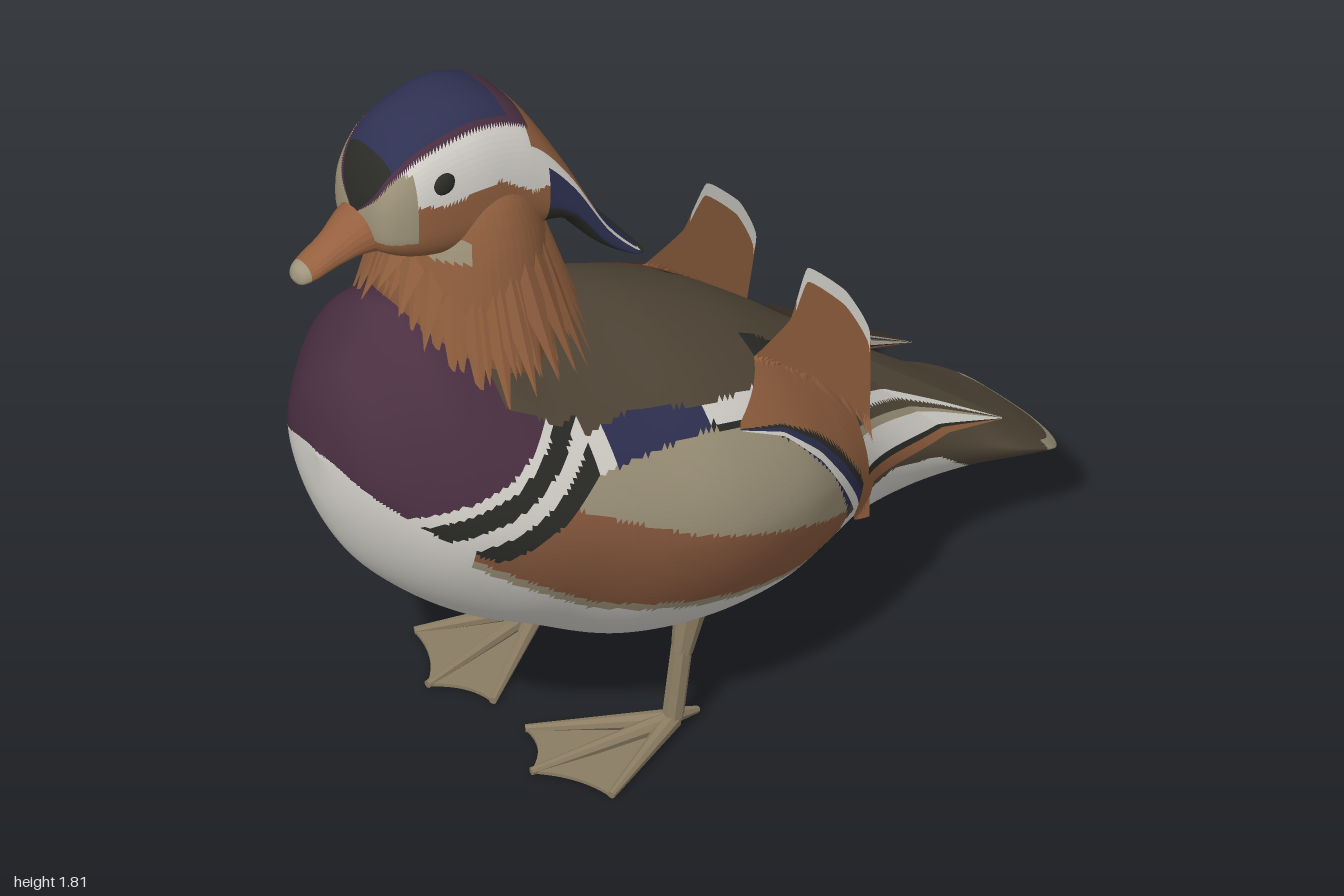
import * as THREE from 'three';

const colours = {
  white: 0xd8d5ce, chestnut: 0x92603f, flankRust: 0x8a5a3f, backBrown: 0x524738, navy: 0x2f3152,
  plum: 0x4b3042, black: 0x2b2b28, tan: 0x9f947b, legTan: 0x8b7d63, beakRust: 0x96603f,
};
const names = Object.keys(colours);
const mats = names.map((name) => new THREE.MeshStandardMaterial({
  name, color: colours[name], flatShading: true, side: THREE.DoubleSide,
}));
const mat = (name) => mats[names.indexOf(name)];

// Piecewise linear lookup; table rows are [z, value] with z falling
function at(z, table) {
  if (z >= table[0][0]) return table[0][1];
  for (let i = 1; i < table.length; i++) {
    const [z1, a] = table[i - 1], [z2, b] = table[i];
    if (z >= z2) return a + (b - a) * (z1 - z) / (z1 - z2);
  }
  return table[table.length - 1][1];
}

// Grid surface whose triangles are coloured by a rule
function grid(name, nu, nv, point, colourOf) {
  const pos = [], buckets = names.map(() => []);
  const add = (u, v, ...corners) => buckets[names.indexOf(colourOf(point(u, v), u, v))].push(...corners);
  for (let i = 0; i <= nu; i++)
    for (let j = 0; j <= nv; j++) pos.push(...point(i / nu, j / nv));
  for (let i = 0; i < nu; i++) {
    for (let j = 0; j < nv; j++) {
      const a = i * (nv + 1) + j, b = a + nv + 1;
      add((i + 1 / 3) / nu, (j + 1 / 3) / nv, a, a + 1, b);
      add((i + 2 / 3) / nu, (j + 2 / 3) / nv, a + 1, b + 1, b);
    }
  }
  const geo = new THREE.BufferGeometry();
  geo.setAttribute('position', new THREE.Float32BufferAttribute(pos, 3));
  geo.setIndex(buckets.flat());
  let start = 0;
  buckets.forEach((list, k) => {
    if (list.length) geo.addGroup(start, list.length, k);
    start += list.length;
  });
  geo.computeVertexNormals();
  const mesh = new THREE.Mesh(geo, mats);
  mesh.name = name;
  return mesh;
}

// Smooth loft along z; rows are [z, top, bottom, halfWidth, widestY], e sets how square it is
function makeLoft(rows, e) {
  const curve = (f) => new THREE.CatmullRomCurve3(rows.map(f), false, 'catmullrom');
  const c1 = curve((r) => new THREE.Vector3(r[0], r[1], r[2]));
  const c2 = curve((r) => new THREE.Vector3(r[0], r[3], r[4]));
  const section = (u) => {
    const a = c1.getPoint(u), b = c2.getPoint(u);
    return { z: a.x, top: a.y, bot: a.z, w: Math.max(0, b.y), cy: b.z };
  };
  const pw = (n) => Math.sign(n) * Math.pow(Math.abs(n), e);
  const angle = (v) => v * Math.PI * 2 + Math.min(0, e - 1) * 0.45 * Math.sin(v * Math.PI * 8);
  const point = (u, v) => {
    const s = section(u), t = angle(v), c = pw(Math.cos(t));
    return [s.w * pw(Math.sin(t)), s.cy + c * (c > 0 ? s.top - s.cy : s.cy - s.bot), s.z];
  };
  const surfaceX = (z, y) => {
    let lo = 0, hi = 1;
    for (let i = 0; i < 30; i++) {
      const m = (lo + hi) / 2;
      if (section(m).z > z) lo = m; else hi = m;
    }
    const s = section(lo), r = Math.abs(y - s.cy) / (y > s.cy ? s.top - s.cy : s.cy - s.bot);
    return r >= 1 ? 0 : s.w * Math.pow(1 - Math.pow(r, 2 / e), e / 2);
  };
  return { point, surfaceX, angle };
}

const body = makeLoft([
  [0.935, 0.96, 0.96, 0, 0.96], [0.91, 1.1, 0.8, 0.13, 0.95], [0.85, 1.2, 0.66, 0.22, 0.91],
  [0.75, 1.29, 0.54, 0.315, 0.87], [0.62, 1.25, 0.43, 0.38, 0.83], [0.48, 1.16, 0.35, 0.42, 0.78],
  [0.3, 1.09, 0.25, 0.447, 0.69], [0.1, 1.03, 0.195, 0.445, 0.64], [-0.1, 0.93, 0.175, 0.4, 0.6],
  [-0.25, 0.82, 0.19, 0.325, 0.55], [-0.4, 0.69, 0.21, 0.235, 0.48], [-0.55, 0.56, 0.22, 0.193, 0.41],
  [-0.7, 0.43, 0.22, 0.18, 0.34], [-0.82, 0.325, 0.215, 0.188, 0.29], [-0.91, 0.25, 0.205, 0.165, 0.238],
  [-0.96, 0.205, 0.185, 0.12, 0.197], [-0.99, 0.177, 0.168, 0.06, 0.173], [-1, 0.165, 0.165, 0, 0.165],
], 1.1);

function bodyColour([x, y, z]) {
  const ax = Math.abs(x), s = 0.58 * z + 0.81 * y - 0.2 * Math.max(0, z - 0.65);
  if (z < -0.9 && Math.hypot(x, z + 0.82) > 0.162) return 'tan';
  if (z < -0.78) return 'backBrown';
  // breast and shoulder bars
  if (z > 0.45 && y > 0.97 - 1.8 * ax * ax) {
    if (y > 1.03 && z < Math.min(0.62, 0.5 + 1.4 * (y - 1.03))) return 'backBrown';
    if (s > 1.17 || ax < 0.2) return 'plum';
    if (s > 1.145) return 'white';
    if (s > 1.1) return 'black';
    if (s > 1.06) return 'white';
    if (s > 1.01) return 'black';
  }
  // dark seam inside the sail feathers
  if (z < -0.1 && z > -0.4 && y > 0.58 && ax > 0.13 && ax < 0.19) return z < -0.28 ? 'navy' : 'black';
  // rump and under tail
  if (z < -0.28) return y > at(z, [[-0.28, 0.4], [-0.45, 0.42], [-0.6, 0.37], [-0.78, 0.21]]) ? 'backBrown' : 'white';
  // wing edge, flank and belly
  if (z < 0.5 && y > at(z, [[0.5, 1.0], [0.3, 0.98], [0.13, 0.92], [-0.07, 0.86], [-0.28, 0.6]])) return 'backBrown';
  const wing = at(z, [[0.5, 0.93], [0.15, 0.885], [0, 0.83], [-0.1, 0.74], [-0.2, 0.6], [-0.28, 0.42]]);
  if (z < 0.5 && y > wing) {
    if (z > 0.4) return z > 0.46 ? 'black' : 'white';
    if (z > 0.13 || z < -0.07) return 'navy';
    return y > wing + 0.012 ? 'white' : 'black';
  }
  if (z < 0.58 && y > at(z, [[0.54, 0.88], [0.25, 0.71], [-0.07, 0.56], [-0.26, 0.45]])) return 'tan';
  const low = at(z, [[0.73, 0.77], [0.46, 0.57], [0.2, 0.48], [-0.07, 0.39], [-0.28, 0.33]]);
  if (z < 0.74 && y > low) return 'flankRust';
  return z < 0.74 && y > low - 0.025 ? 'tan' : 'white';
}

const head = makeLoft([
  [0.84, 1.58, 1.58, 0, 1.58], [0.825, 1.66, 1.51, 0.08, 1.58], [0.79, 1.735, 1.48, 0.115, 1.57],
  [0.72, 1.79, 1.45, 0.137, 1.57], [0.6, 1.815, 1.42, 0.15, 1.57], [0.5, 1.785, 1.4, 0.15, 1.56],
  [0.43, 1.72, 1.41, 0.15, 1.54], [0.35, 1.58, 1.4, 0.155, 1.47], [0.27, 1.41, 1.31, 0.165, 1.35],
  [0.2, 1.305, 1.275, 0.172, 1.285], [0.17, 1.275, 1.275, 0.155, 1.275],
], 0.75);

function headColour([x, y, z], u, v) {
  const a = head.angle(Math.min(v, 1 - v));      // angle away from the top
  if (z > 0.79 && a < 0.6) return 'black';
  if (z > 0.5 && a < 0.6) return 'navy';
  if (z > 0.45 && a < 0.75) return 'plum';
  if (z < 0.46) {                                // hanging crest
    if (z < 0.185) return 'black';
    if (a < 1.05) return z < 0.33 - 0.3 * Math.abs(x) ? 'navy' : 'chestnut';
    if (a < 1.27) return 'white';
    if (z < 0.42) return a < 1.8 ? 'navy' : 'black';
  }
  if (z > 0.755 && y > 1.54 && y < 1.71) return 'tan';
  return y > at(z, [[0.8, 1.65], [0.7, 1.62], [0.55, 1.63], [0.46, 1.56]]) ? 'white' : 'chestnut';
}

const beak = makeLoft([
  [0.77, 1.62, 1.475, 0.08, 1.53], [0.84, 1.595, 1.485, 0.062, 1.53], [0.9, 1.55, 1.48, 0.045, 1.505],
  [0.96, 1.515, 1.465, 0.038, 1.485], [0.99, 1.5, 1.46, 0.025, 1.475], [1, 1.475, 1.475, 0, 1.475],
], 0.95);

// Curved plate stretched between two [z, y] edges, kept outside the body
function plate(name, lower, upper, lean, colourOf) {
  const line = (pts) => new THREE.CatmullRomCurve3(pts.map(([z, y]) => new THREE.Vector3(0, y, z)), false, 'catmullrom', 0.2);
  const lo = line(lower), hi = line(upper);
  return grid(name, 48, 28, (u, v) => {
    const p = lo.getPoint(u).lerp(hi.getPoint(u), v);
    return [Math.max(body.surfaceX(p.z, p.y) + 0.012, lean(p.y, p.z)), p.y, p.z];
  }, colourOf);
}

function rod(name, from, to, r1, r2, material) {
  const a = new THREE.Vector3(...from), b = new THREE.Vector3(...to), d = b.clone().sub(a);
  const mesh = new THREE.Mesh(new THREE.CylinderGeometry(r2, r1, d.length(), 8), material);
  mesh.position.copy(a).add(b).multiplyScalar(0.5);
  mesh.quaternion.setFromUnitVectors(new THREE.Vector3(0, 1, 0), d.normalize());
  mesh.name = name;
  return mesh;
}

function sideParts() {
  const g = new THREE.Group();
  // upright sail feather with a sharp tip
  g.add(plate('sailFeather',
    [[0.06, 0.85], [-0.06, 0.78], [-0.15, 0.68], [-0.22, 0.56], [-0.28, 0.45], [-0.32, 0.37], [-0.36, 0.36]],
    [[0.05, 0.86], [-0.08, 0.885], [-0.19, 0.94], [-0.245, 1.05], [-0.34, 0.95], [-0.395, 0.82], [-0.37, 0.5]],
    (y) => 0.25 - 0.1 * (y - 0.4),
    (p, u, v) => (v > 0.92 && u > 0.4 && u < 0.85 ? 'white' : v < 0.06 && u < 0.75 ? 'white'
      : v < 0.2 && u < 0.75 ? (v < 0.15 ? 'navy' : 'black') : 'chestnut')));
  // folded flight feathers sloping in over the rump
  g.add(plate('flightFeathers',
    [[-0.34, 0.46], [-0.48, 0.44], [-0.62, 0.42], [-0.78, 0.38]],
    [[-0.34, 0.74], [-0.48, 0.635], [-0.62, 0.52], [-0.78, 0.385]],
    (y, z) => 0.21 - 0.45 * (y - 0.46 - 0.18 * (z + 0.34)) + 0.1 * (z + 0.34),
    (p, u, v) => (v > 0.72 ? 'backBrown' : v > 0.62 ? 'white' : v > 0.54 ? 'backBrown' : v > 0.46 ? 'tan'
      : v > 0.22 ? 'white' : v > 0.14 ? 'black' : 'chestnut')));
  // eye
  const eye = new THREE.Mesh(new THREE.SphereGeometry(0.027, 14, 10), mat('black'));
  eye.name = 'eye';
  eye.scale.x = 0.5;
  eye.position.set(head.surfaceX(0.69, 1.675) - 0.002, 1.675, 0.69);
  g.add(eye);
  // leg, toes and web
  const leg = mat('legTan'), ankle = [0.245, 0.05, 0.16];
  g.add(rod('upperLeg', [0.25, 0.36, 0.11], [0.25, 0.22, 0.14], 0.04, 0.024, leg));
  g.add(rod('lowerLeg', [0.25, 0.23, 0.14], ankle, 0.024, 0.024, leg));
  g.add(rod('hindToe', ankle, [0.24, 0.03, 0.09], 0.02, 0.008, leg));
  const tips = [[0.06, 0.42], [0.19, 0.5], [0.36, 0.41]];
  tips.forEach(([x, z]) => g.add(rod('toe', [0.245, 0.04, 0.16], [x, 0.016, z], 0.022, 0.009, leg)));
  const web = new THREE.Shape();
  web.moveTo(0.245, -0.15);
  web.lineTo(0.06, -0.42);
  web.quadraticCurveTo(0.14, -0.42, 0.19, -0.5);
  web.quadraticCurveTo(0.26, -0.42, 0.36, -0.41);
  web.closePath();
  const webMesh = new THREE.Mesh(new THREE.ExtrudeGeometry(web, { depth: 0.008, bevelEnabled: false }), leg);
  webMesh.rotation.x = -Math.PI / 2;
  webMesh.position.y = 0.01;
  webMesh.name = 'footWeb';
  g.add(webMesh);
  return g;
}

// Full cheeks and neck with layered pointed feathers around them
function makeRuff() {
  const g = new THREE.Group();
  g.name = 'neckRuff';
  const profile = new THREE.CatmullRomCurve3([[0.2, 1.1], [0.215, 1.3], [0.205, 1.4], [0.188, 1.49], [0.165, 1.56], [0.13, 1.62]]
    .map(([r, y]) => new THREE.Vector3(r, y, 0)));
  g.add(grid('neck', 40, 56, (u, v) => {
    const p = profile.getPoint(u), t = v * Math.PI * 2;
    return [p.x * Math.sin(t), p.y, 0.55 + 0.86 * p.x * Math.cos(t)];
  }, ([, y, z]) => (z > 0.64 && z < 0.7 && y > 1.45 && y < 1.51 ? 'tan' : 'chestnut')));
  const n = 26;
  for (let layer = 0; layer < 3; layer++) {
    for (let i = 0; i < n; i++) {
      const phi = ((i + layer / 3) / n) * Math.PI * 2 - Math.PI;
      const k = Math.min(1, Math.abs(phi) / 1.1), out = 1 - layer * 0.06;
      const tipY = 1.32 - 0.21 * k + layer * 0.03 * k + 0.03 * Math.sin(i * 7.3 + layer * 2);
      const sx = Math.sin(phi), cz = Math.cos(phi);
      const root = new THREE.Vector3(0.155 * sx, 1.5, 0.55 + 0.13 * cz);
      const tip = new THREE.Vector3(0.29 * out * sx, tipY, 0.525 + 0.25 * out * cz);
      const up = root.clone().sub(tip), len = up.length();
      up.normalize();
      const side = new THREE.Vector3(cz, 0, -sx);
      side.addScaledVector(up, -side.dot(up)).normalize();
      const geo = new THREE.ConeGeometry(0.06, len, 4).rotateX(Math.PI).scale(1, 1, 0.35);
      geo.applyMatrix4(new THREE.Matrix4().makeBasis(side, up, side.clone().cross(up)));
      const feather = new THREE.Mesh(geo, mat('chestnut'));
      feather.position.copy(root).add(tip).multiplyScalar(0.5);
      feather.name = 'ruffFeather';
      g.add(feather);
    }
  }
  return g;
}

export function createModel() {
  const model = new THREE.Group();
  model.name = 'duck';
  model.add(grid('body', 230, 170, body.point, bodyColour));
  model.add(grid('headAndCrest', 140, 104, head.point, headColour));
  model.add(grid('beak', 24, 24, beak.point, ([, , z]) => (z > 0.975 ? 'tan' : 'beakRust')));
  model.add(makeRuff());
  const left = sideParts(), right = sideParts();
  left.name = 'leftSide';
  right.name = 'rightSide';
  right.scale.x = -1;
  model.add(left, right);
  return model;
}
